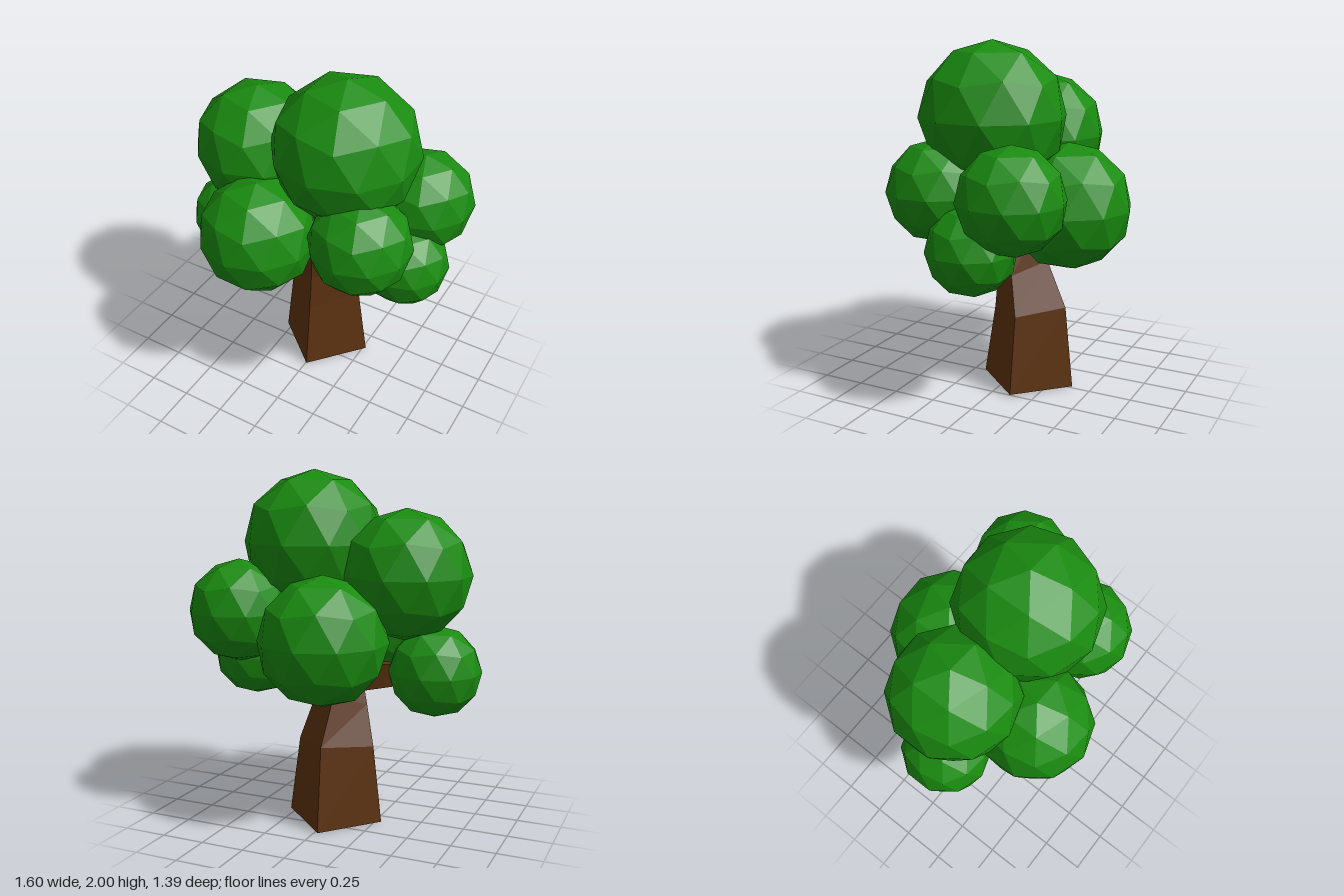
import * as THREE from 'three';

const bark = new THREE.MeshStandardMaterial({ color: 0x5c3210, flatShading: true });
const leaf = new THREE.MeshStandardMaterial({ color: 0x1a8c10, flatShading: true });

// Skin four-cornered rings (front, right, back, left; bottom to top) and cap both ends
function loft(rings) {
  const index = [];
  for (let i = 0; i < rings.length - 1; i++) {
    for (let j = 0; j < 4; j++) {
      const a = i * 4 + j, b = i * 4 + (j + 1) % 4;
      index.push(a, b, b + 4, a, b + 4, a + 4);
    }
  }
  const t = (rings.length - 1) * 4;
  index.push(0, 2, 1, 0, 3, 2, t, t + 1, t + 2, t, t + 2, t + 3);
  const geo = new THREE.BufferGeometry();
  geo.setAttribute('position', new THREE.Float32BufferAttribute(rings.flat(2), 3));
  geo.setIndex(index);
  const flat = geo.toNonIndexed();
  flat.computeVertexNormals();
  return flat;
}

// Tapered four-sided limb between two points
function limb(from, to, r0, r1) {
  const a = new THREE.Vector3(...from), b = new THREE.Vector3(...to);
  const dir = b.clone().sub(a);
  const mesh = new THREE.Mesh(new THREE.CylinderGeometry(r1, r0, dir.length(), 4).rotateY(Math.PI / 4), bark);
  mesh.position.copy(a).lerp(b, 0.5);
  mesh.quaternion.setFromUnitVectors(new THREE.Vector3(0, 1, 0), dir.normalize());
  return mesh;
}

export function createModel() {
  const tree = new THREE.Group();
  tree.name = 'tree';

  // Trunk, square in section and turned corner-on to the front
  const trunk = new THREE.Mesh(loft([
    [[0.01, 0.01, 0.175], [0.275, 0.015, -0.125], [-0.02, 0, -0.385], [-0.285, 0, -0.085]],
    [[0, 0.43, 0.11], [0.21, 0.46, -0.125], [-0.02, 0.48, -0.335], [-0.24, 0.45, -0.1]],
    [[0, 0.65, 0.09], [0.145, 0.68, -0.07], [-0.04, 0.74, -0.21], [-0.18, 0.68, -0.05]],
    [[0.01, 0.86, 0.1], [0.13, 0.84, -0.03], [0, 0.9, -0.14], [-0.13, 0.88, -0.02]],
    [[0.1, 1.3, 0.09], [0.17, 1.3, 0.02], [0.1, 1.3, -0.05], [0.03, 1.3, 0.02]],
  ]), bark);
  trunk.name = 'trunk';
  tree.add(trunk);

  // Branches reaching into the foliage
  const branches = new THREE.Group();
  branches.name = 'branches';
  [
    [[-0.04, 0.82, -0.02], [-0.5, 0.88, 0.02], 0.12, 0.07],
    [[0.06, 0.84, 0], [0.3, 1.15, 0.12], 0.1, 0.06],
    [[-0.02, 0.84, -0.06], [-0.04, 1.05, -0.3], 0.1, 0.06],
  ].forEach((b) => branches.add(limb(...b)));
  tree.add(branches);

  // Foliage: faceted balls, each with a corner pointing straight up
  const ball = new THREE.IcosahedronGeometry(1, 1)
    .rotateX(-Math.atan((1 + Math.sqrt(5)) / 2))
    .rotateY(Math.PI / 2);
  const foliage = new THREE.Group();
  foliage.name = 'foliage';
  [
    ['crownTop', 0.18, 1.59, 0.025, 0.41],
    ['crownRight', -0.395, 1.425, -0.015, 0.365],
    ['crownFront', -0.175, 1.115, 0.36, 0.332],
    ['crownFrontLeft', 0.395, 1.195, 0.25, 0.286],
    ['crownBackLeft', 0.52, 1.21, -0.257, 0.293],
    ['crownLowLeft', 0.538, 0.927, -0.032, 0.248],
    ['crownLowRight', -0.557, 0.89, 0.025, 0.26],
    ['crownBack', -0.035, 1.08, -0.337, 0.362],
  ].forEach(([name, x, y, z, r]) => {
    const mesh = new THREE.Mesh(ball, leaf);
    mesh.name = name;
    mesh.position.set(x, y, z);
    mesh.scale.setScalar(r);
    foliage.add(mesh);
  });
  tree.add(foliage);
  return tree;
}
